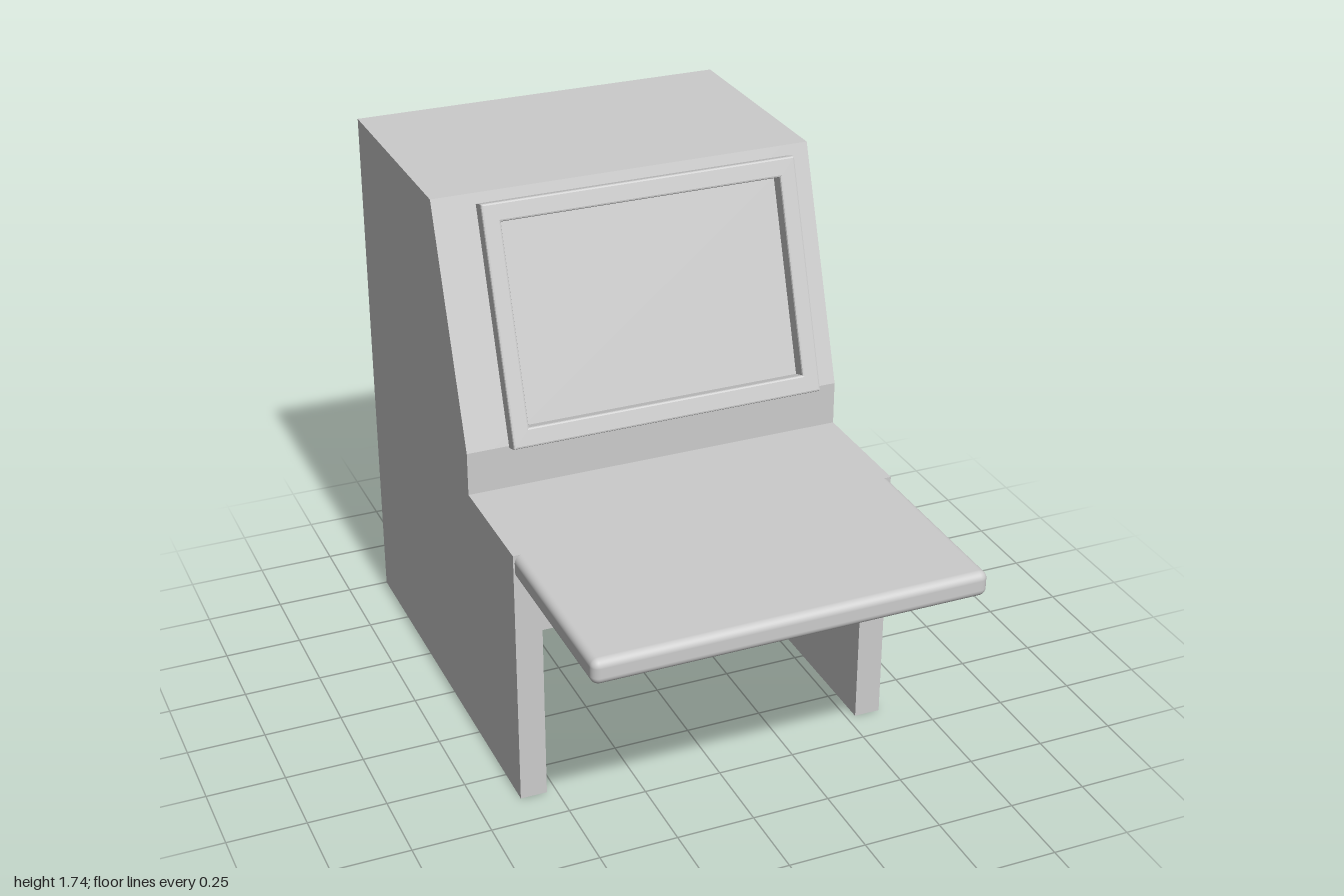
import * as THREE from 'three';
import { RoundedBoxGeometry } from 'three/addons/geometries/RoundedBoxGeometry.js';

const material = new THREE.MeshStandardMaterial({ color: 0xcccccc });

function part(name, geometry, parent) {
  const mesh = new THREE.Mesh(geometry, material);
  mesh.name = name;
  parent.add(mesh);
  return mesh;
}

// Extrudes a side outline of [z, y] points across x, from x0 to x1
function acrossX(points, x0, x1) {
  const shape = new THREE.Shape(points.map(([z, y]) => new THREE.Vector2(-z, y)));
  const geometry = new THREE.ExtrudeGeometry(shape, { depth: x1 - x0, bevelEnabled: false });
  return geometry.rotateY(Math.PI / 2).translate(x0, 0, 0);
}

function rectangle(path, w, h) {
  path.moveTo(-w / 2, -h / 2);
  path.lineTo(w / 2, -h / 2);
  path.lineTo(w / 2, h / 2);
  path.lineTo(-w / 2, h / 2);
  path.closePath();
  return path;
}

export function createModel() {
  const group = new THREE.Group();
  group.name = 'console';

  // Outer outline from the back foot, over the top, down to the desk
  const upper = [[-1, 0], [-1, 1.725], [-0.26, 1.725], [-0.01, 1.0], [-0.01, 0.86], [0.385, 0.86]];

  // Side panels reach the floor at the front
  for (const [name, x] of [['rightSidePanel', -0.615], ['leftSidePanel', 0.53]]) {
    part(name, acrossX([...upper, [0.385, 0]], x, x + 0.085), group);
  }

  // Hollow casing between the sides, with the stepped knee recess and an open bottom
  const kneeRecess = [[0.385, 0.78], [-0.1, 0.78], [-0.1, 0.585], [-0.25, 0.5], [-0.49, 0.29], [-0.49, 0]];
  const inside = [
    [-0.505, 0], [-0.505, 0.3], [-0.26, 0.515], [-0.115, 0.6], [-0.115, 0.845],
    [-0.025, 0.845], [-0.025, 1.0], [-0.27, 1.71], [-0.985, 1.71], [-0.985, 0],
  ];
  part('casing', acrossX([...upper, ...kneeRecess, ...inside], -0.53, 0.53), group);

  // Desk top projecting forward, with rounded edges
  part('deskTop', new RoundedBoxGeometry(1.22, 0.08, 0.68, 4, 0.025), group).position.set(0, 0.82, 0.66);

  // Tilted screen: its origin is the centre of the frame's front face
  const screen = new THREE.Group();
  screen.name = 'screenUnit';
  screen.position.set(0, 1.397, -0.005);
  screen.rotation.x = -0.32;
  group.add(screen);

  // Frame with a small bevel around a rectangular opening
  const bevel = 0.006;
  const outline = rectangle(new THREE.Shape(), 1.01 - 2 * bevel, 0.732 - 2 * bevel);
  outline.holes.push(rectangle(new THREE.Path(), 0.9 + 2 * bevel, 0.615 + 2 * bevel));
  const frame = new THREE.ExtrudeGeometry(outline, {
    depth: 0.055 - 2 * bevel, bevelThickness: bevel, bevelSize: bevel, bevelSegments: 2,
  });
  part('screenFrame', frame.translate(0, 0, bevel - 0.055), screen);

  // Box behind the frame; its front face is the recessed screen
  part('screenBox', new THREE.BoxGeometry(0.9, 0.615, 0.08), screen).position.z = -0.094;

  return group;
}
